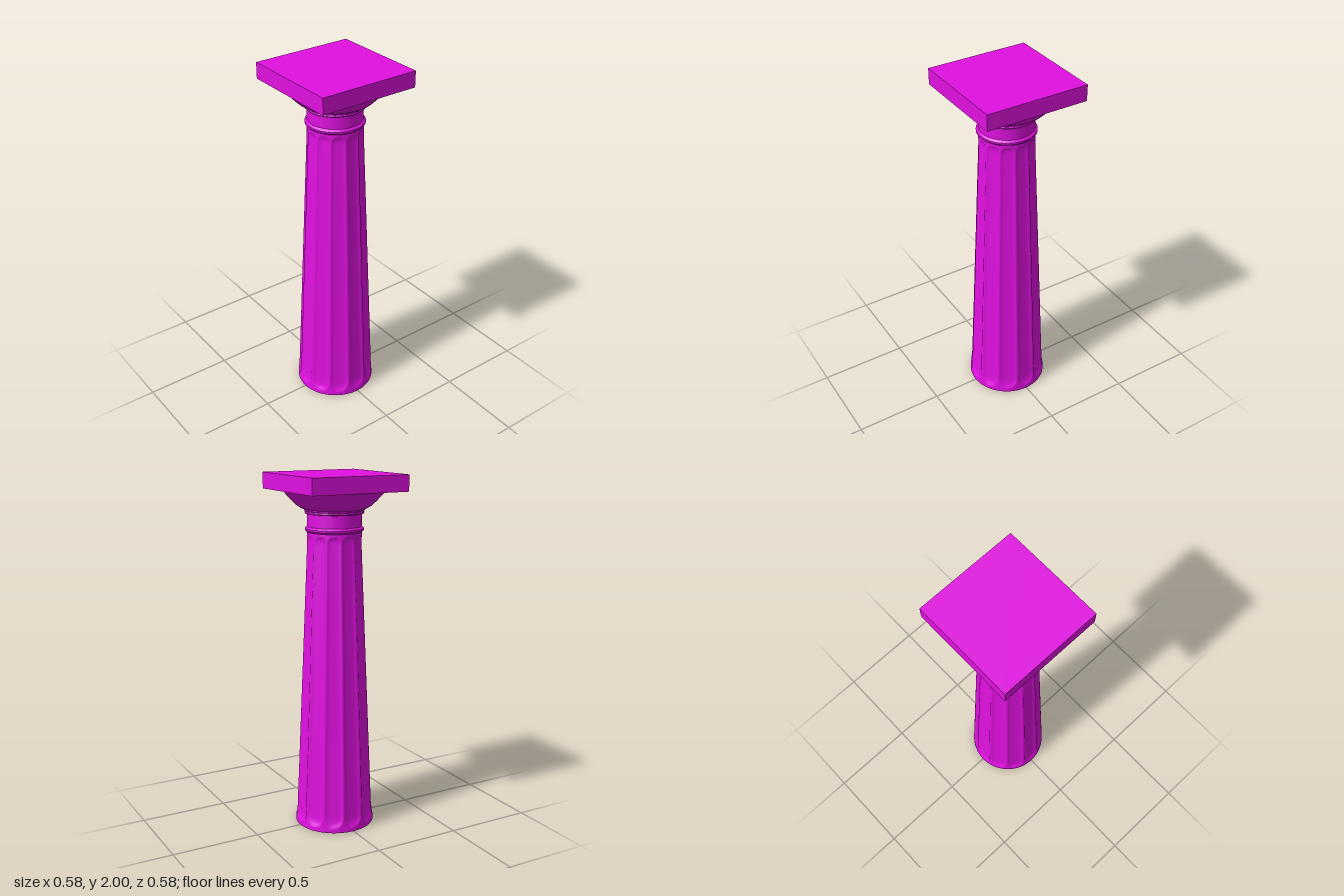
import * as THREE from 'three';
import { mergeVertices, toCreasedNormals } from 'three/addons/utils/BufferGeometryUtils.js';

const FLUTES = 12, BASE_R = 0.225, TOP_R = 0.15, SHAFT_H = 1.69;

// Tapered shaft with round-ended flutes pressed into the surface
function shaftGeometry() {
  const geo = new THREE.CylinderGeometry(1, 1, 1, FLUTES * 16, 48, true);
  geo.deleteAttribute('uv');
  geo.deleteAttribute('normal');
  const p = geo.attributes.position;
  const step = (Math.PI * 2) / FLUTES;
  for (let i = 0; i < p.count; i++) {
    const angle = Math.atan2(p.getX(i), p.getZ(i));
    const t = p.getY(i) + 0.5;
    // rows gather near both ends, where the flutes round off
    const y = SHAFT_H * (t - (0.9 * Math.sin(2 * Math.PI * t)) / (2 * Math.PI));
    const radius = THREE.MathUtils.lerp(BASE_R, TOP_R, y / SHAFT_H);
    const across = (angle - Math.round(angle / step) * step) / (step * 0.44);
    const half = radius * step * 0.44;
    const along = Math.max(0, 0.03 + half - y, y - (SHAFT_H - 0.02 - half)) / half;
    const depth = 0.26 * half * Math.sqrt(Math.max(0, 1 - across * across - along * along));
    p.setXYZ(i, Math.sin(angle) * (radius - depth), y, Math.cos(angle) * (radius - depth));
  }
  const merged = mergeVertices(geo, 1e-5);
  merged.computeVertexNormals();
  return merged;
}

export function createModel() {
  const model = new THREE.Group();
  const material = new THREE.MeshStandardMaterial({ color: 0xe010e0 });
  const add = (name, geometry, y = 0) => {
    const mesh = new THREE.Mesh(geometry, material);
    mesh.name = name;
    mesh.position.y = y;
    model.add(mesh);
    return mesh;
  };

  add('shaft', shaftGeometry());
  add('shaftUnderside', new THREE.CircleGeometry(BASE_R, 96)).rotation.x = Math.PI / 2;

  // Neck ring, plain neck, upper rings and flaring echinus in one turned profile
  const profile = [
    [0.148, 1.685], [0.155, 1.69], [0.161, 1.697], [0.161, 1.707], [0.155, 1.713],
    [0.149, 1.717], [0.149, 1.785],
    [0.16, 1.787], [0.163, 1.793], [0.16, 1.799], [0.157, 1.8],
    [0.165, 1.803], [0.165, 1.81], [0.185, 1.818], [0.206, 1.832], [0.228, 1.853],
    [0.25, 1.876], [0.27, 1.897], [0.282, 1.911],
  ].map(([r, y]) => new THREE.Vector2(r, y));
  add('capital', toCreasedNormals(new THREE.LatheGeometry(profile, 96), 0.6));

  // Square slab on top
  add('abacus', new THREE.BoxGeometry(0.58, 0.09, 0.58), 1.955);

  return model;
}
